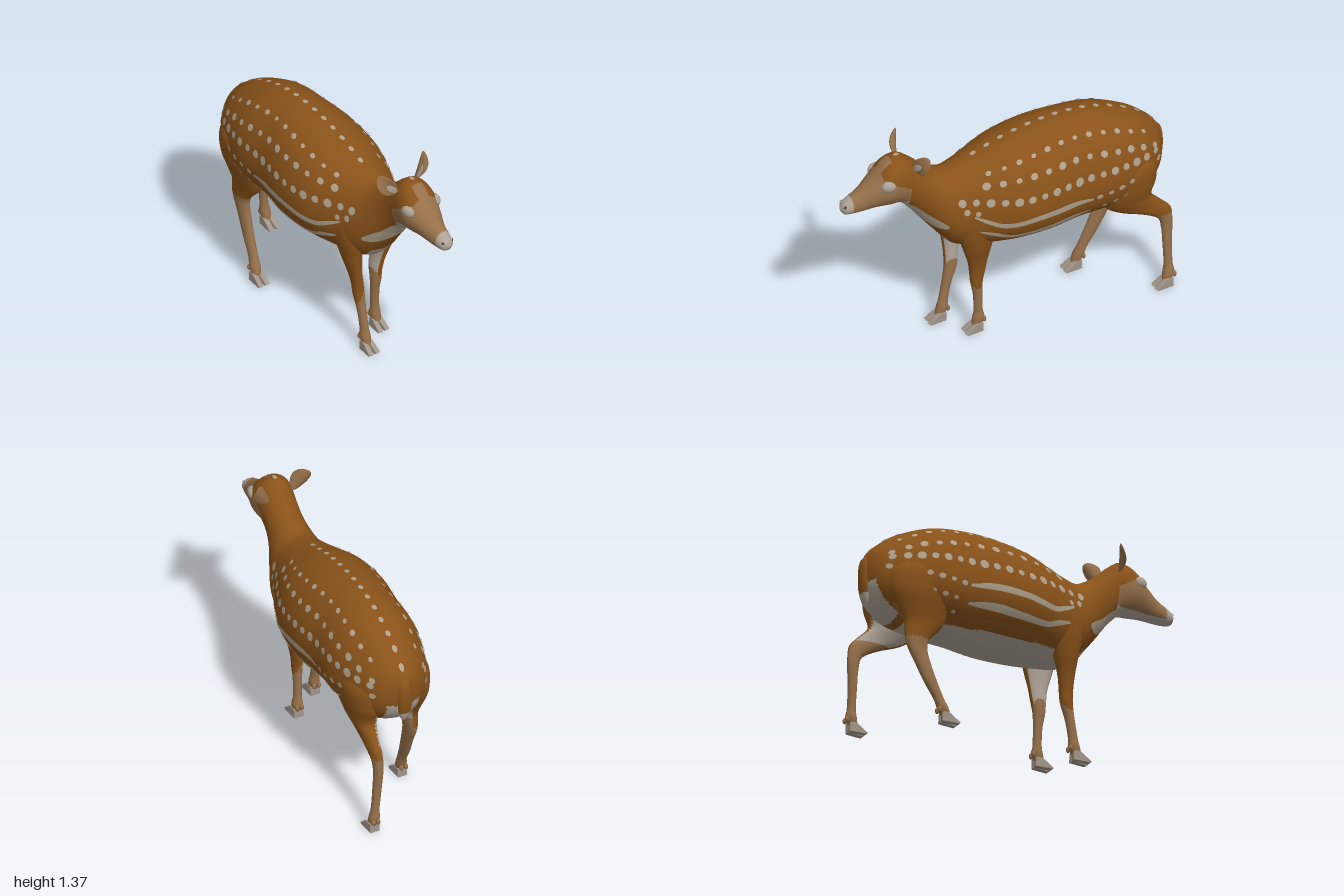
import * as THREE from 'three';

const mat = (name, color, side = THREE.FrontSide) => {
  const m = new THREE.MeshStandardMaterial({ color, side });
  m.name = name;
  return m;
};

// Smooth interpolation through rows keyed by their first (ascending) column
function spline(rows, k) {
  let i = 0;
  while (i < rows.length - 2 && k > rows[i + 1][0]) i++;
  const a = rows[i], b = rows[i + 1], h = b[0] - a[0];
  const p = rows[Math.max(i - 1, 0)], q = rows[Math.min(i + 2, rows.length - 1)];
  const t = Math.min(Math.max((k - a[0]) / h, 0), 1), t2 = t * t, t3 = t2 * t;
  return a.map((_, c) => {
    const ma = (b[c] - p[c]) / (b[0] - p[0]) * h, mb = (q[c] - a[c]) / (q[0] - a[0]) * h;
    return (2 * t3 - 3 * t2 + 1) * a[c] + (t3 - 2 * t2 + t) * ma + (3 * t2 - 2 * t3) * b[c] + (t3 - t2) * mb;
  });
}

// Closed tube of rings; paint(x, y, z) picks the material index of each face
function loft(nu, nv, point, paint = () => 0, count = 1) {
  const pos = [], lists = Array.from({ length: count }, () => []);
  for (let i = 0; i <= nu; i++) for (let j = 0; j < nv; j++) pos.push(...point(i / nu, j / nv * Math.PI * 2));
  for (let i = 0; i < nu; i++) for (let j = 0; j < nv; j++) {
    const k = (j + 1) % nv, a = i * nv + j, b = a + nv, c = (i + 1) * nv + k, d = i * nv + k;
    for (const tri of [[a, b, c], [a, c, d]]) {
      const m = [0, 1, 2].map(n => (pos[tri[0] * 3 + n] + pos[tri[1] * 3 + n] + pos[tri[2] * 3 + n]) / 3);
      lists[paint(...m)].push(...tri);
    }
  }
  const g = new THREE.BufferGeometry();
  g.setAttribute('position', new THREE.Float32BufferAttribute(pos, 3));
  g.setIndex(lists.flat());
  let start = 0;
  lists.forEach((l, n) => { g.addGroup(start, l.length, n); start += l.length; });
  g.computeVertexNormals();
  return g;
}

// Body stations from rump to nose: z, top, widest height, bottom, half width
const BODY = [
  [-0.985, 0.94, 0.92, 0.89, 0], [-0.97, 1.0, 0.9, 0.8, 0.06], [-0.945, 1.045, 0.89, 0.75, 0.115],
  [-0.9, 1.09, 0.88, 0.7, 0.165], [-0.8, 1.165, 0.87, 0.64, 0.225], [-0.6, 1.25, 0.88, 0.61, 0.28],
  [-0.4, 1.28, 0.88, 0.6, 0.285], [-0.2, 1.27, 0.87, 0.585, 0.31], [0, 1.23, 0.86, 0.585, 0.3],
  [0.15, 1.18, 0.85, 0.59, 0.25], [0.25, 1.15, 0.84, 0.6, 0.21], [0.35, 1.13, 0.85, 0.64, 0.18],
  [0.43, 1.165, 0.92, 0.74, 0.145], [0.5, 1.215, 1.03, 0.83, 0.115], [0.57, 1.28, 1.12, 0.93, 0.105],
  [0.64, 1.325, 1.17, 1.0, 0.11], [0.72, 1.3, 1.16, 1.015, 0.115], [0.8, 1.22, 1.13, 1.02, 0.09],
  [0.88, 1.155, 1.08, 1.015, 0.062], [0.95, 1.115, 1.065, 1.015, 0.048], [0.985, 1.09, 1.06, 1.025, 0.035],
  [1.0, 1.06, 1.055, 1.05, 0],
];
function skin(z, a, lift = 0) {
  const [, top, mid, bot, hw] = spline(BODY, z), c = Math.cos(a);
  return [(Math.max(hw, 0) + lift) * Math.sin(a), mid + ((c > 0 ? top - mid : mid - bot) + lift) * c, z];
}
// Angle round the body at which the skin has height y
function angleAt(z, y) {
  const [, top, mid, bot] = spline(BODY, z);
  return Math.acos(THREE.MathUtils.clamp((y - mid) / (y > mid ? top - mid : mid - bot), -1, 1));
}

// Colour zones: 0 brown, 1 tan, 2 pale
function bodyPaint(x, y, z) {
  const ax = Math.abs(x);
  if (z > 0.935 || (z > 0.6 && y < 1.035)) return 2;
  if (z > 0.76) return 1;
  if (z > 0.6) return y < 1.14 + (z - 0.6) * 0.55 || (ax < 0.035 && z > 0.69) ? 1 : 0;
  if (z > 0.3 && y < 0.71 && ax < 0.09) return 2;
  if (z > -0.75 && z < 0.36 && y < 0.638 && ax < 0.17) return 2;
  if (z < -0.8 && y < 0.84 && ax < 0.1) return 2;
  return 0;
}

// Leg stations from foot to hip: y, x, z, radius across, radius along
const FRONT_L = [[0.03, 0.093, 0.2, 0.022, 0.028], [0.09, 0.093, 0.185, 0.031, 0.035], [0.13, 0.092, 0.185, 0.025, 0.027],
  [0.25, 0.09, 0.188, 0.026, 0.027], [0.34, 0.09, 0.195, 0.031, 0.037], [0.41, 0.092, 0.192, 0.034, 0.047],
  [0.5, 0.105, 0.195, 0.038, 0.06], [0.62, 0.122, 0.205, 0.055, 0.09], [0.75, 0.13, 0.21, 0.075, 0.12],
  [0.88, 0.12, 0.2, 0.085, 0.12], [1.0, 0.1, 0.18, 0.02, 0.03]];
const FRONT_R = [[0.03, 0.083, 0.345, 0.022, 0.028], [0.09, 0.083, 0.325, 0.031, 0.035], [0.13, 0.083, 0.32, 0.025, 0.029],
  [0.25, 0.085, 0.297, 0.026, 0.029], [0.35, 0.088, 0.273, 0.032, 0.038], [0.42, 0.092, 0.268, 0.034, 0.042],
  [0.5, 0.105, 0.262, 0.038, 0.05], [0.62, 0.122, 0.25, 0.055, 0.075], [0.75, 0.13, 0.235, 0.075, 0.11],
  [0.88, 0.12, 0.21, 0.085, 0.12], [1.0, 0.1, 0.18, 0.02, 0.03]];
const HIND_L = [[0.03, 0.187, -0.935, 0.022, 0.026], [0.09, 0.183, -0.952, 0.032, 0.034], [0.14, 0.178, -0.953, 0.025, 0.026],
  [0.28, 0.166, -0.953, 0.026, 0.027], [0.4, 0.158, -0.953, 0.028, 0.034], [0.47, 0.157, -0.94, 0.031, 0.046],
  [0.53, 0.157, -0.885, 0.037, 0.09], [0.59, 0.155, -0.785, 0.047, 0.135], [0.66, 0.15, -0.71, 0.075, 0.15],
  [0.78, 0.145, -0.69, 0.11, 0.2], [0.92, 0.13, -0.68, 0.12, 0.2], [1.05, 0.1, -0.68, 0.03, 0.05]];
const HIND_R = [[0.03, 0.182, -0.545, 0.022, 0.026], [0.09, 0.18, -0.565, 0.032, 0.034], [0.14, 0.175, -0.585, 0.026, 0.032],
  [0.24, 0.168, -0.635, 0.027, 0.042], [0.36, 0.16, -0.685, 0.029, 0.051], [0.44, 0.157, -0.715, 0.032, 0.062],
  [0.5, 0.157, -0.718, 0.038, 0.075], [0.59, 0.155, -0.68, 0.05, 0.115], [0.66, 0.15, -0.68, 0.075, 0.15],
  [0.78, 0.145, -0.69, 0.11, 0.2], [0.92, 0.13, -0.68, 0.12, 0.2], [1.05, 0.1, -0.68, 0.03, 0.05]];

export function createModel() {
  const model = new THREE.Group();
  const brown = mat('brown coat', 0x895219), tan = mat('tan fur', 0x96704a), pale = mat('pale fur', 0xada295);
  const marking = mat('cream marking', 0xada08c, THREE.DoubleSide), hoofMat = mat('hoof', 0xa09488);
  const dark = mat('dark nostril', 0x4c4038, THREE.DoubleSide);
  const coat = [brown, tan, pale];
  const add = (name, geo, material, parent = model) => {
    const m = new THREE.Mesh(geo, material);
    m.name = name;
    parent.add(m);
    return m;
  };

  // Body, neck and head in one skin
  add('body', loft(200, 96, (u, a) => skin(-0.985 + 1.985 * u, a), bodyPaint, 3), coat);

  // Thin markings laid on the skin
  const spot = (z, a, rz, r, material = marking, name = 'spot') => {
    const girth = Math.max(spline(BODY, z)[4], 0.04), pos = [...skin(z, a, 0.006)], idx = [];
    for (let i = 0; i < 10; i++) {
      const t = i / 10 * Math.PI * 2;
      pos.push(...skin(z + rz * Math.cos(t), a + r / girth * Math.sin(t), 0.005));
      idx.push(0, 1 + i, 1 + (i + 1) % 10);
    }
    const g = new THREE.BufferGeometry();
    g.setAttribute('position', new THREE.Float32BufferAttribute(pos, 3));
    g.setIndex(idx);
    g.computeVertexNormals();
    add(name, g, material);
  };
  const stripe = (name, rows, side) => { // rows: z, y, half width
    const pos = [], idx = [], n = 36, w = 4;
    for (let i = 0; i <= n; i++) {
      const z = THREE.MathUtils.lerp(rows[0][0], rows.at(-1)[0], i / n), [, y, half] = spline(rows, z);
      for (let j = 0; j <= w; j++) pos.push(...skin(z, side * angleAt(z, y + half * (1 - 2 * j / w)), 0.005));
      if (i < n) for (let j = 0; j < w; j++) {
        const p = i * (w + 1) + j, q = p + w + 1;
        idx.push(p, q, q + 1, p, q + 1, p + 1);
      }
    }
    const g = new THREE.BufferGeometry();
    g.setAttribute('position', new THREE.Float32BufferAttribute(pos, 3));
    g.setIndex(idx);
    g.computeVertexNormals();
    add(name, g, marking);
  };

  // Spot rows: path of (z, y), spacing, spot size
  const rows = [
    [[[-0.82, 1.09], [-0.6, 1.18], [-0.35, 1.21], [-0.1, 1.18], [0.15, 1.12]], 0.088, 0.013],
    [[[-0.88, 0.99], [-0.7, 1.06], [-0.4, 1.11], [-0.1, 1.095], [0.2, 1.06]], 0.088, 0.016],
    [[[-0.88, 0.96], [-0.6, 0.985], [-0.3, 0.985], [0, 0.97], [0.31, 0.98]], 0.075, 0.018],
    [[[-0.9, 0.9], [-0.7, 0.87], [-0.48, 0.845]], 0.07, 0.016],
    [[[-0.87, 0.81], [-0.7, 0.78], [-0.49, 0.755]], 0.07, 0.014],
    [[[-0.74, 0.725], [-0.62, 0.7], [-0.5, 0.69]], 0.075, 0.012],
    [[[0.24, 0.91], [0.3, 0.925]], 0.06, 0.014],
  ];
  for (const s of [-1, 1]) {
    for (const [path, step, r] of rows)
      for (let z = path[0][0], i = 0; z <= path.at(-1)[0] + 0.01; z += step, i++) {
        const size = r * (0.85 + 0.3 * ((i * 7) % 5) / 4);
        spot(z, s * angleAt(z, spline(path, z)[1]), size * 1.25, size);
      }
    stripe('upperStripe', [[-0.44, 0.84, 0.008], [-0.3, 0.853, 0.019], [-0.1, 0.842, 0.018], [0.1, 0.822, 0.016],
      [0.2, 0.86, 0.013], [0.26, 0.89, 0.006]], s);
    stripe('lowerStripe', [[-0.44, 0.742, 0.006], [-0.3, 0.745, 0.02], [-0.1, 0.728, 0.018], [0.06, 0.725, 0.014],
      [0.14, 0.755, 0.015], [0.23, 0.785, 0.006]], s);
    stripe('throatStripe', [[0.395, 0.83, 0.01], [0.44, 0.845, 0.032], [0.5, 0.885, 0.036], [0.56, 0.945, 0.035],
      [0.62, 0.995, 0.03]], s);
    // Eyes and nostrils
    const eye = add('eye', new THREE.SphereGeometry(1, 20, 14), pale);
    eye.scale.set(0.026, 0.035, 0.042);
    eye.position.set(s * 0.096, 1.192, 0.742);
    eye.rotation.y = s * -0.25;
    spot(0.982, s * 0.95, 0.007, 0.008, dark, 'nostril');
  }
  for (let z = -0.93; z < 0.2; z += 0.085) spot(z, 0, 0.018, 0.014);
  spot(0.65, 0, 0.018, 0.012);

  // Ears: cupped leaves with a pale lining
  for (const s of [-1, 1]) {
    const ear = new THREE.Group();
    ear.name = s > 0 ? 'leftEar' : 'rightEar';
    const leaf = (w, h, d) => {
      const g = new THREE.SphereGeometry(1, 24, 18).scale(w, h, d), p = g.attributes.position;
      for (let i = 0; i < p.count; i++) {
        const x = p.getX(i), y = p.getY(i), taper = 1 - 2.5 * Math.max(0, -y);
        p.setXYZ(i, x * taper, y, p.getZ(i) + 9 * x * x - 1.5 * y * y);
      }
      g.computeVertexNormals();
      return g;
    };
    add('earShell', leaf(0.05, 0.082, 0.012), tan, ear);
    const lining = add('earLining', leaf(0.022, 0.045, 0.006), pale, ear);
    lining.position.set(-s * 0.01, -0.025, 0.01);
    ear.position.set(s * 0.133, 1.302, s > 0 ? 0.555 : 0.6);
    ear.rotation.set(0, s * 0.4, -s * 0.65);
    model.add(ear);
  }

  // Tail
  const TAIL = [[0.715, -0.955, 0.004, 0.004], [0.74, -0.96, 0.022, 0.016], [0.82, -0.972, 0.042, 0.022],
    [0.92, -0.972, 0.045, 0.026], [0.99, -0.955, 0.035, 0.03], [1.03, -0.93, 0.01, 0.01]];
  add('tail', loft(24, 20, (u, t) => {
    const [y, z, rx, rz] = spline(TAIL, 0.715 + 0.315 * u);
    return [rx * Math.cos(t), y, z + rz * Math.sin(t)];
  }, (x, y, z) => (y < 0.78 || z > -0.962 && y < 0.88 ? 2 : 0), 3), coat);

  // Legs, each with two toes and two dewclaws
  const toeShape = new THREE.Shape([[-0.032, 0.004], [0.062, 0.004], [0.07, 0.01], [0.035, 0.036], [0.005, 0.058],
    [-0.03, 0.056]].map(p => new THREE.Vector2(...p)));
  const toeGeo = new THREE.ExtrudeGeometry(toeShape, { depth: 0.02, bevelSize: 0.004, bevelThickness: 0.005, bevelSegments: 2 })
    .translate(0, 0, -0.01).rotateY(-Math.PI / 2);
  const leg = (name, rows, s, hind) => {
    const group = new THREE.Group();
    group.name = name;
    const y0 = rows[0][0], y1 = rows.at(-1)[0];
    const paint = (x, y, z) => {
      const [, cx, , rx] = spline(rows, y), inner = (s * x - cx) / rx;
      if (y < (hind ? 0.5 : 0.36 + 0.06 * -inner)) return 1;
      if (hind) return inner < -0.3 && y < 0.78 ? (y < 0.56 ? 1 : 2) : 0;
      return inner < -0.45 && y < 0.66 ? 2 : 0;
    };
    add('limb', loft(60, 28, (u, t) => {
      const [y, x, z, rx, rz] = spline(rows, y0 + (y1 - y0) * u);
      return [s * x + rx * Math.cos(t), y, z + rz * Math.sin(t)];
    }, paint, 3), coat, group);
    const [, fx, fz] = rows[0];
    for (const k of [-1, 1]) {
      const toe = add('toe', toeGeo, hoofMat, group);
      toe.position.set(s * fx + k * 0.017, 0, fz);
      toe.rotation.y = k * 0.08;
      const claw = add('dewclaw', new THREE.SphereGeometry(0.012, 10, 8), tan, group);
      claw.scale.y = 1.6;
      claw.position.set(s * fx + k * 0.015, 0.075, rows[1][2] - 0.03);
    }
    model.add(group);
  };
  leg('leftFrontLeg', FRONT_L, 1, false);
  leg('rightFrontLeg', FRONT_R, -1, false);
  leg('leftHindLeg', HIND_L, 1, true);
  leg('rightHindLeg', HIND_R, -1, true);
  return model;
}
